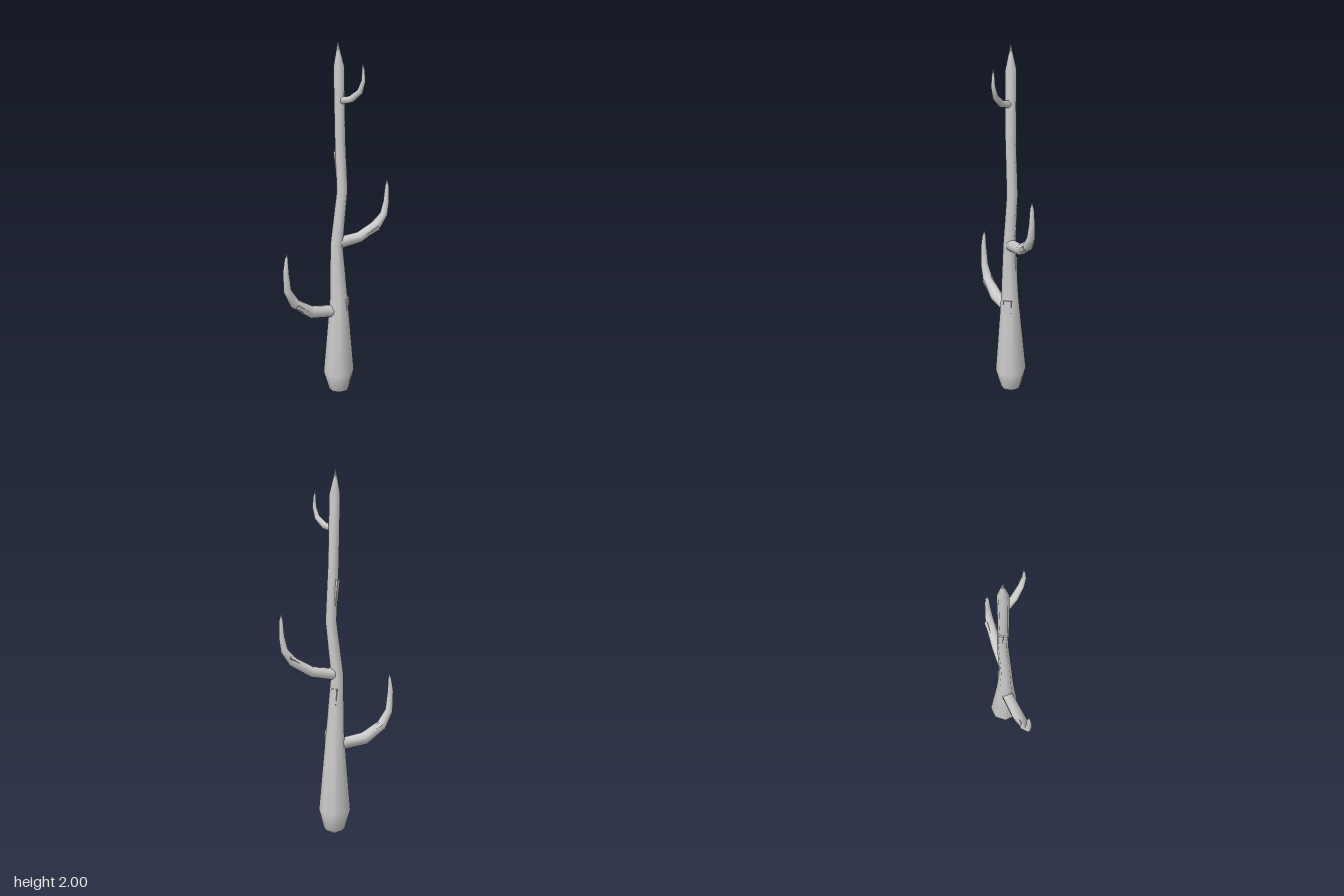
import * as THREE from 'three';

const material = new THREE.MeshStandardMaterial({ color: 0xcccccc, side: THREE.DoubleSide });
const SIDES = 8;

// Sweeps an octagon along rows of [x, y, z, radius]; "side" is the fixed sideways axis.
function limb(name, rows, side) {
  const pts = rows.map(r => new THREE.Vector3(r[0], r[1], r[2]));
  const pos = [], index = [];
  rows.forEach((row, i) => {
    const before = pts[Math.max(i - 1, 0)], after = pts[Math.min(i + 1, pts.length - 1)];
    const t = after.clone().sub(pts[i]).normalize()
      .add(pts[i].clone().sub(before).normalize()).normalize();
    const s = side.clone().addScaledVector(t, -side.dot(t)).normalize();
    const u = t.clone().cross(s);
    for (let j = 0; j < SIDES; j++) {
      const a = (j + 0.5) / SIDES * Math.PI * 2, r = row[3] / Math.cos(Math.PI / SIDES);
      const p = pts[i].clone().addScaledVector(s, r * Math.cos(a)).addScaledVector(u, r * Math.sin(a));
      pos.push(p.x, p.y, p.z);
      if (i + 1 < rows.length) {
        const k = (j + 1) % SIDES, b = i * SIDES, c = b + SIDES;
        index.push(b + j, b + k, c + k, b + j, c + k, c + j);
      }
    }
  });
  // end caps
  const last = (rows.length - 1) * SIDES;
  for (let j = 1; j < SIDES - 1; j++) index.push(0, j + 1, j, last, last + j, last + j + 1);
  const geo = new THREE.BufferGeometry();
  geo.setAttribute('position', new THREE.Float32BufferAttribute(pos, 3));
  geo.setIndex(index);
  geo.computeVertexNormals();
  const mesh = new THREE.Mesh(geo, material);
  mesh.name = name;
  return mesh;
}

// Wedge of lifted bark: flush at its start, proud of the surface at its end.
function barkFlap(from, to, out, width, thick) {
  const a = new THREE.Vector3(...from), b = new THREE.Vector3(...to);
  const len = a.distanceTo(b);
  const geo = new THREE.BoxGeometry(width, len, thick);
  const p = geo.attributes.position;
  for (let i = 0; i < p.count; i++) {
    if (p.getY(i) < 0) p.setXYZ(i, p.getX(i) * 0.7, p.getY(i), p.getZ(i) - thick / 2);
  }
  geo.computeVertexNormals();
  const y = b.clone().sub(a).normalize();
  const z = new THREE.Vector3(...out);
  z.addScaledVector(y, -z.dot(y)).normalize();
  const x = y.clone().cross(z);
  const mesh = new THREE.Mesh(geo, material);
  mesh.name = 'barkFlap';
  mesh.quaternion.setFromRotationMatrix(new THREE.Matrix4().makeBasis(x, y, z));
  mesh.position.copy(a).add(b).multiplyScalar(0.5);
  return mesh;
}

export function createModel() {
  const group = new THREE.Group();
  group.name = 'bareTree';

  // Trunk with bulbous foot and pointed top
  group.add(limb('trunk', [
    [0.022, 0.005, -0.036, 0.012], [0.022, 0.03, -0.036, 0.053], [0.02, 0.14, -0.036, 0.081],
    [0.016, 0.59, -0.03, 0.046], [0.004, 0.9, -0.033, 0.032], [0.039, 1.2, -0.031, 0.028],
    [0.024, 1.5, -0.029, 0.027], [0.018, 1.87, -0.032, 0.027], [0.013, 2, -0.034, 0.001],
  ], new THREE.Vector3(1, 0, 0)));

  // Branches, each running outward and hooking upward
  const branches = {
    lowerRightBranch: [
      [-0.01, 0.513, -0.036, 0.015], [-0.025, 0.514, -0.036, 0.031], [-0.155, 0.532, -0.036, 0.033],
      [-0.26, 0.6, -0.035, 0.027], [-0.303, 0.68, -0.037, 0.02],
      [-0.311, 0.79, -0.037, 0.015], [-0.306, 0.86, -0.038, 0.009], [-0.302, 0.885, -0.038, 0.002],
    ],
    upperLeftBranch: [
      [0.008, 0.905, -0.033, 0.018], [0.025, 0.908, -0.032, 0.031], [0.145, 0.925, -0.022, 0.028],
      [0.25, 0.985, -0.008, 0.026], [0.293, 1.045, 0, 0.02],
      [0.306, 1.12, 0.003, 0.015], [0.308, 1.205, 0.005, 0.01], [0.307, 1.24, 0.005, 0.002],
    ],
    topFrontBranch: [
      [0.021, 1.693, -0.024, 0.012], [0.027, 1.694, -0.012, 0.019], [0.05, 1.705, 0.04, 0.018],
      [0.075, 1.747, 0.088, 0.015], [0.084, 1.805, 0.107, 0.011],
      [0.083, 1.86, 0.106, 0.007], [0.081, 1.89, 0.104, 0.002],
    ],
  };
  for (const [name, rows] of Object.entries(branches)) {
    const a = rows[0], b = rows[rows.length - 1];
    const side = new THREE.Vector3(b[2] - a[2], 0, a[0] - b[0]).normalize();
    group.add(limb(name, rows, side));
  }

  // Lifted bark on the trunk and the two long branches
  group.add(
    barkFlap([0.054, 0.45, 0.005], [0.05, 0.59, 0.002], [1, 0, 1], 0.045, 0.014),
    barkFlap([0.037, 0.69, -0.062], [0.028, 0.83, -0.06], [1, 0, -1], 0.03, 0.014),
    barkFlap([0.016, 1.28, -0.053], [0.008, 1.42, -0.051], [-1, 0, -1], 0.03, 0.014),
    barkFlap([-0.17, 0.56, -0.055], [-0.25, 0.615, -0.055], [0, 1, -1], 0.025, 0.01),
    barkFlap([-0.18, 0.535, -0.007], [-0.262, 0.59, -0.008], [0, -0.3, 1], 0.022, 0.01),
    barkFlap([0.17, 0.93, 0.006], [0.25, 0.975, 0.016], [0, -0.3, 1], 0.025, 0.01),
    barkFlap([0.19, 0.965, -0.035], [0.265, 1.015, -0.027], [0, 1, -1], 0.022, 0.01),
    barkFlap([0.064, 1.72, 0.052], [0.083, 1.752, 0.085], [1, 0.4, -0.5], 0.014, 0.008),
  );
  return group;
}
